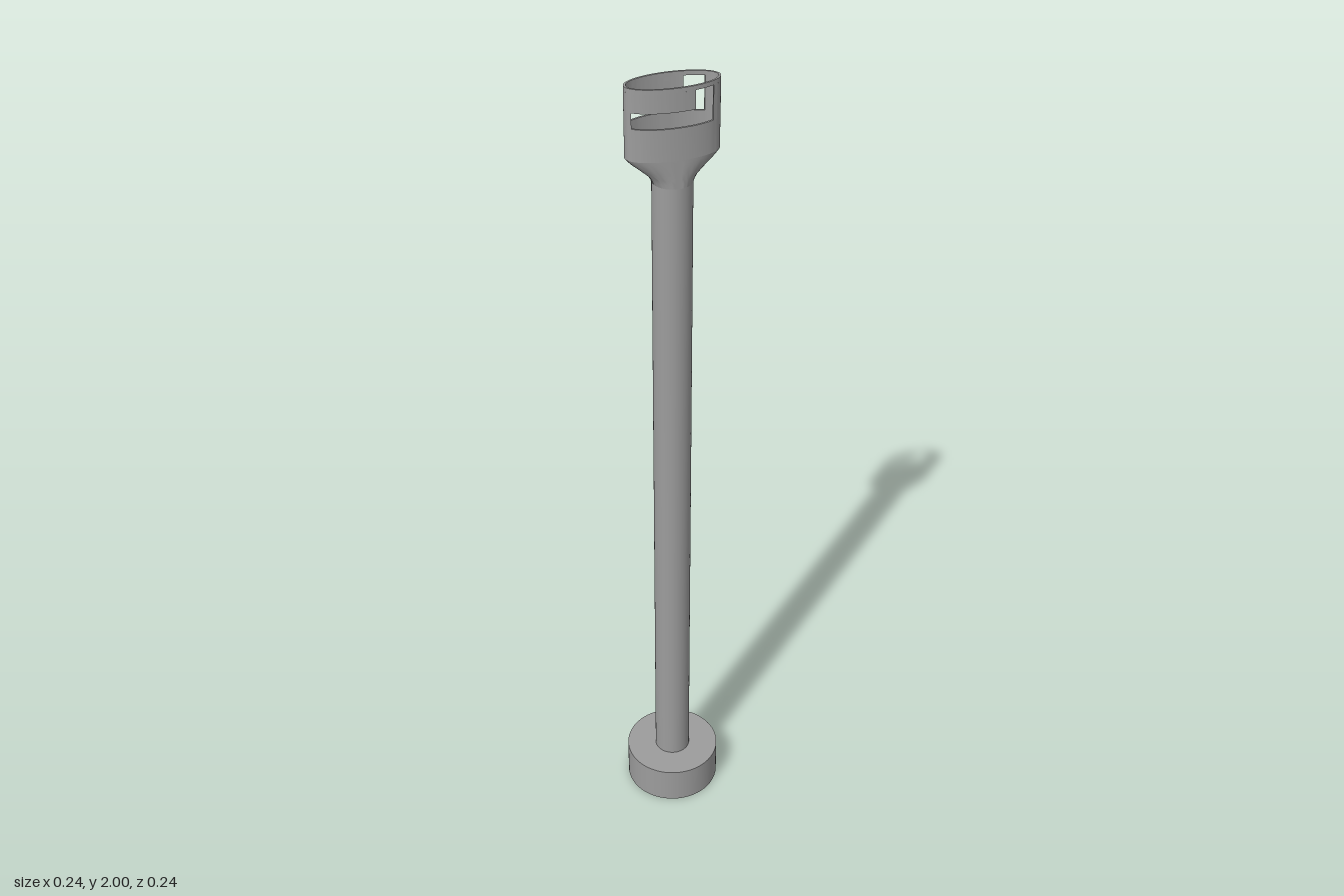
import * as THREE from 'three';
import { toCreasedNormals } from 'three/addons/utils/BufferGeometryUtils.js';

const SEG = 64;
const OUTER = { a: 0.105, b: 0.045 }; // socket ellipse, outside
const INNER = { a: 0.1, b: 0.04 };    // socket ellipse, inside

export function createModel() {
  const group = new THREE.Group();
  const grey = new THREE.MeshStandardMaterial({ color: 0x9c9c9c });
  grey.name = 'grey';

  const add = (name, geometry, y = 0) => {
    const mesh = new THREE.Mesh(geometry, grey);
    mesh.name = name;
    mesh.position.y = y;
    group.add(mesh);
  };

  // Points along an ellipse between two angles
  const arc = ({ a, b }, t0, t1) =>
    Array.from({ length: SEG + 1 }, (_, i) => {
      const t = t0 + ((t1 - t0) * i) / SEG;
      return new THREE.Vector2(a * Math.cos(t), b * Math.sin(t));
    });

  // Full elliptical ring
  const ring = () => {
    const shape = new THREE.Shape(arc(OUTER, 0, Math.PI * 2).slice(0, -1));
    shape.holes.push(new THREE.Path(arc(INNER, 0, Math.PI * 2).slice(0, -1)));
    return shape;
  };

  // C-shaped part of the ring on one side of the plane x = cut
  const partRing = (cut, side) => {
    const ends = ({ a }) => {
      const t = Math.acos(cut / a);
      return side > 0 ? [-t, t] : [t, Math.PI * 2 - t];
    };
    return new THREE.Shape([
      ...arc(OUTER, ...ends(OUTER)),
      ...arc(INNER, ...ends(INNER)).reverse(),
    ]);
  };

  // Stack a horizontal layer of socket wall between two heights
  const layer = (name, shape, y0, y1) => {
    const g = new THREE.ExtrudeGeometry(shape, { depth: y1 - y0, bevelEnabled: false });
    g.rotateX(-Math.PI / 2);
    add(name, toCreasedNormals(g, 0.5), y0);
  };

  // Foot and pole
  add('base', new THREE.CylinderGeometry(0.12, 0.12, 0.1, SEG), 0.05);
  add('pole', new THREE.CylinderGeometry(0.045, 0.045, 1.675, SEG, 1, true), 0.9375);

  // Collar: round at the pole, widening in x into the socket ellipse, with the socket floor on top
  const profile = [[1.775, 0.045], [1.785, 0.049], [1.795, 0.056], [1.81, 0.073],
    [1.825, 0.091], [1.835, 0.101], [1.84, 0.105]];
  const points = profile.map(([y]) => new THREE.Vector2(0.045, y));
  const collar = new THREE.LatheGeometry([...points, new THREE.Vector2(0, 1.84)], SEG);
  const pos = collar.attributes.position;
  for (let i = 0; i < pos.count; i++) {
    const half = profile.find(([y]) => Math.abs(y - pos.getY(i)) < 1e-4)[1];
    pos.setX(i, (pos.getX(i) * half) / 0.045);
  }
  collar.deleteAttribute('uv');
  add('collar', toCreasedNormals(collar, 0.7));

  // Socket wall with an L-shaped slot cut through front and back
  layer('socketWall', ring(), 1.84, 1.913);
  layer('slotEndLeft', partRing(0.08, 1), 1.913, 1.99);
  layer('slotEndRight', partRing(-0.095, -1), 1.913, 1.948);
  layer('socketTongue', partRing(0.037, -1), 1.948, 1.99);
  layer('socketRim', ring(), 1.99, 2);

  return group;
}
